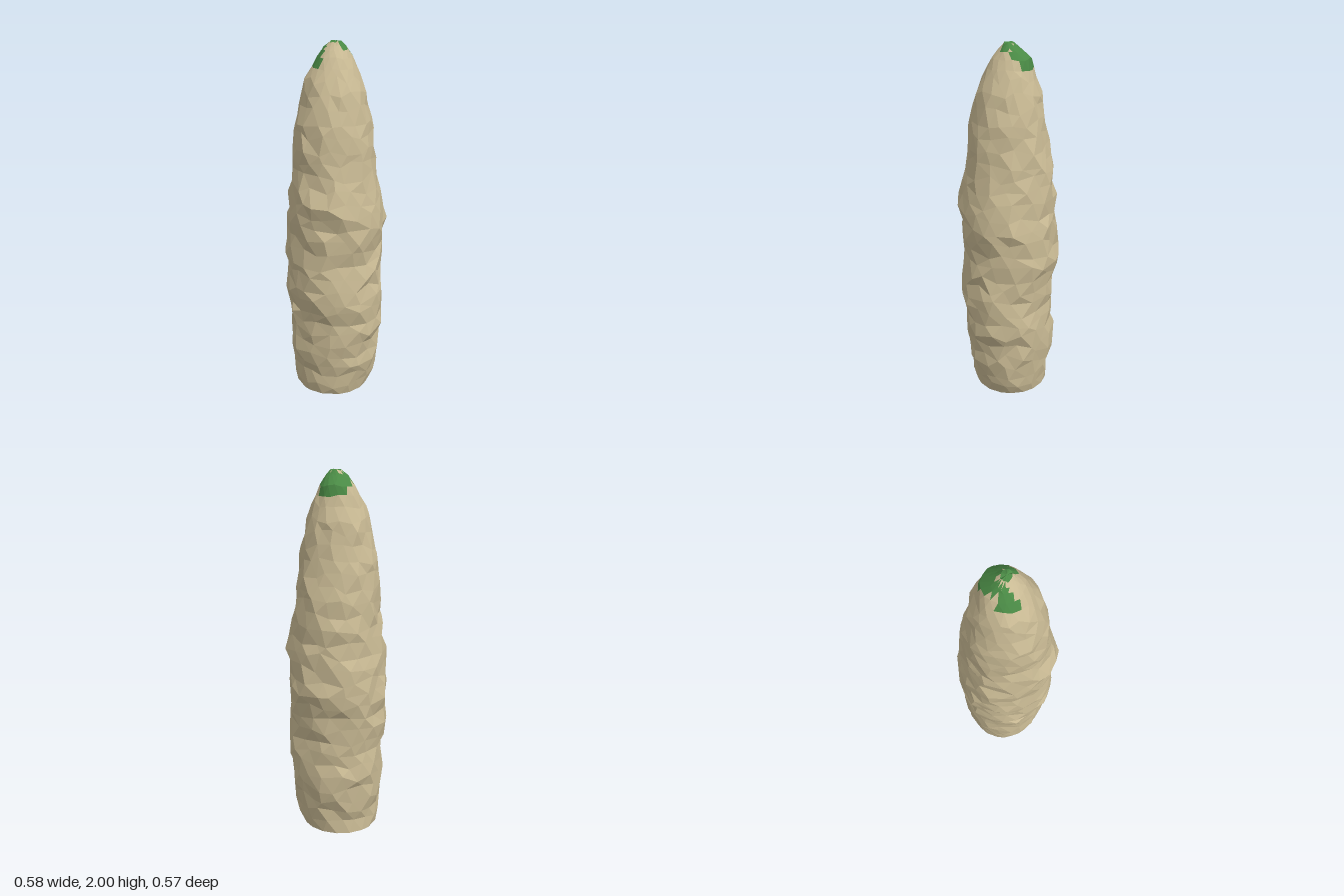
import * as THREE from 'three';

// Silhouette sections: height, left and right limits in x, back and front limits in z
const SECTIONS = [
  [0, -0.24, 0.19, -0.215, 0.205],
  [0.08, -0.25, 0.23, -0.23, 0.22],
  [0.2, -0.265, 0.245, -0.245, 0.24],
  [0.33, -0.275, 0.25, -0.26, 0.26],
  [0.45, -0.27, 0.285, -0.25, 0.25],
  [0.65, -0.29, 0.27, -0.255, 0.28],
  [0.83, -0.29, 0.265, -0.285, 0.265],
  [1.05, -0.275, 0.28, -0.26, 0.265],
  [1.18, -0.25, 0.255, -0.26, 0.285],
  [1.35, -0.245, 0.225, -0.245, 0.24],
  [1.5, -0.235, 0.21, -0.21, 0.235],
  [1.7, -0.195, 0.175, -0.18, 0.195],
  [1.82, -0.16, 0.135, -0.14, 0.155],
  [1.92, -0.105, 0.085, -0.115, 0.095],
  [1.97, -0.065, 0.055, -0.055, 0.05],
  [1.995, -0.03, 0.03, -0.025, 0.025],
];
const SIDES = 18;

// Green areas at the tip, as boxes in plan: x min, x max, z min, z max
const GREEN = [
  [-0.09, 0.07, -0.14, -0.03],
  [-0.09, -0.04, -0.06, 0.075],
  [-0.03, 0.06, -0.025, 0.025],
  [-0.13, -0.09, 0.03, 0.075],
  [-0.09, -0.04, 0.085, 0.12],
];

function seeded(seed) {
  return () => {
    seed = (seed * 1664525 + 1013904223) % 4294967296;
    return seed / 4294967296;
  };
}

// Section limits at any height
function sectionAt(y) {
  let k = 0;
  while (k < SECTIONS.length - 2 && SECTIONS[k + 1][0] < y) k++;
  const a = SECTIONS[k], b = SECTIONS[k + 1];
  const t = THREE.MathUtils.clamp((y - a[0]) / (b[0] - a[0]), 0, 1);
  return a.map((v, i) => v + (b[i] - v) * t);
}

function facetedMesh(triangles, color, name) {
  const geometry = new THREE.BufferGeometry().setFromPoints(triangles.flat());
  geometry.computeVertexNormals();
  const mesh = new THREE.Mesh(geometry, new THREE.MeshStandardMaterial({ color, flatShading: true }));
  mesh.name = name;
  return mesh;
}

export function createModel() {
  const random = seeded(11);
  const jitter = (amount) => (random() - 0.5) * 2 * amount;

  // Uneven rings up the trunk, then calmer, closer rings at the tip
  const heights = [];
  for (let i = 0; i <= 26; i++) heights.push(i * 0.07);
  heights.push(1.87, 1.92, 1.955, 1.975, 1.995);

  const rings = heights.map((height, j) => {
    const base = j === 0, tip = height > 1.85;
    const ring = [];
    for (let i = 0; i < SIDES; i++) {
      const y = base ? 0 : height + jitter(tip ? 0.006 : 0.022);
      const [, x0, x1, z0, z1] = sectionAt(y);
      const angle = ((i + (j % 2) * 0.5 + jitter(tip ? 0.1 : 0.28)) / SIDES) * Math.PI * 2;
      const ledge = 0.02 * Math.sin(y * 33 + 1.5 * Math.sin(angle * 2));
      const r = base ? 1 : 0.975 + ledge + jitter(tip ? 0.02 : 0.04);
      ring.push(new THREE.Vector3(
        (x0 + x1) / 2 + ((x1 - x0) / 2) * r * Math.cos(angle), y,
        (z0 + z1) / 2 + ((z1 - z0) / 2) * r * Math.sin(angle)));
    }
    return ring;
  });

  const bark = [], moss = [];
  const isGreen = (x, y, z) => y > 1.88 &&
    GREEN.some(([x0, x1, z0, z1]) => x > x0 && x < x1 && z > z0 && z < z1);
  const addFace = (a, b, c) => {
    const m = a.clone().add(b).add(c).divideScalar(3);
    (isGreen(m.x, m.y, m.z) ? moss : bark).push([a, b, c]);
  };

  // Staggered triangles between neighbouring rings
  for (let j = 0; j < rings.length - 1; j++) {
    for (let i = 0; i < SIDES; i++) {
      const n = (i + 1) % SIDES;
      const a = rings[j][i], b = rings[j][n], d = rings[j + 1][i], c = rings[j + 1][n];
      if (j % 2) {
        addFace(a, c, b);
        addFace(a, d, c);
      } else {
        addFace(a, d, b);
        addFace(b, d, c);
      }
    }
  }

  // Flat base and closed tip
  const foot = new THREE.Vector3(-0.025, 0, 0), apex = new THREE.Vector3(0, 2, 0);
  const top = rings[rings.length - 1];
  for (let i = 0; i < SIDES; i++) {
    const n = (i + 1) % SIDES;
    addFace(foot, rings[0][i], rings[0][n]);
    addFace(apex, top[n], top[i]);
  }

  const model = new THREE.Group();
  model.name = 'rockSpire';
  model.add(facetedMesh(bark, 0xc9ba94, 'spireBody'), facetedMesh(moss, 0x4a8a45, 'greenTip'));
  return model;
}
